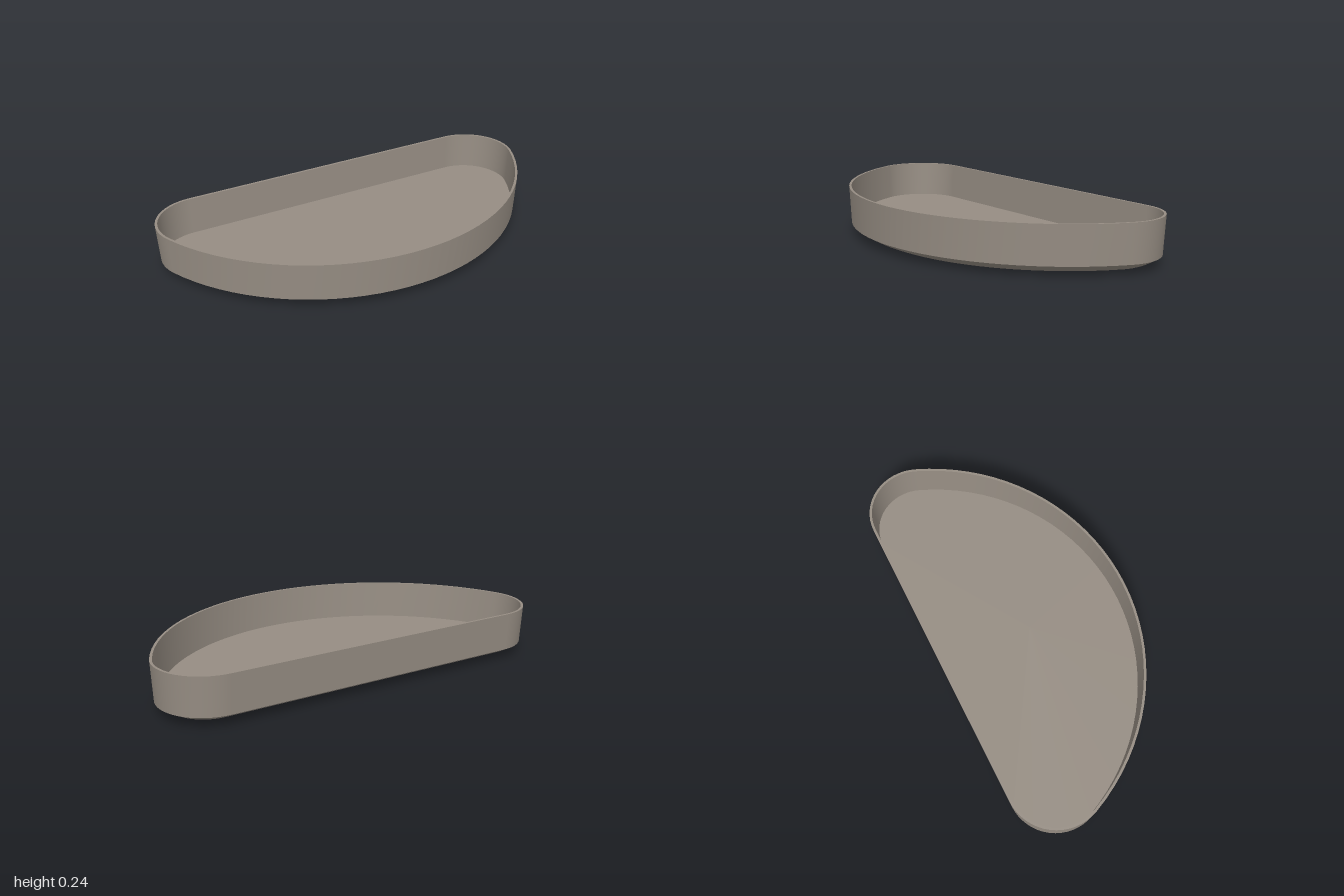
import * as THREE from 'three';

// Half-moon outline: one wide front arc blended into two rounded back corners
const HALF_DEPTH = 0.494, CORNER_R = 0.24, CORNER_X = 1 - CORNER_R;
const K = 2 * HALF_DEPTH - CORNER_R;
const FRONT_R = (CORNER_X ** 2 + K ** 2 - CORNER_R ** 2) / (2 * (K - CORNER_R));
const FRONT_Z = HALF_DEPTH - FRONT_R, CORNER_Z = CORNER_R - HALF_DEPTH;
const JOIN = Math.atan2(CORNER_Z - FRONT_Z, CORNER_X);

// Outline points at height y, inset by d (d = null collapses to the centre)
function ring(d, y) {
  const points = [];
  const arc = (cx, cz, r, from, to, steps) => {
    for (let i = 0; i < steps; i++) {
      const t = from + (to - from) * i / steps;
      points.push(d === null ? [0, y, 0] : [cx + (r - d) * Math.cos(t), y, cz + (r - d) * Math.sin(t)]);
    }
  };
  arc(0, FRONT_Z, FRONT_R, JOIN, Math.PI - JOIN, 36);
  arc(-CORNER_X, CORNER_Z, CORNER_R, Math.PI - JOIN, Math.PI * 1.5, 16);
  // end of the left corner, where the straight back begins
  points.push(d === null ? [0, y, 0] : [-CORNER_X, y, -HALF_DEPTH + d]);
  arc(CORNER_X, CORNER_Z, CORNER_R, Math.PI * 1.5, Math.PI * 2 + JOIN, 16);
  return points;
}

// Smooth band through a list of [inset, height] rings
function band(name, profile, material) {
  const rings = profile.map(([d, y]) => ring(d, y));
  const n = rings[0].length, index = [];
  for (let k = 0; k < rings.length - 1; k++) {
    for (let i = 0; i < n; i++) {
      const a = k * n + i, b = k * n + (i + 1) % n;
      index.push(a, a + n, b, b, a + n, b + n);
    }
  }
  const geometry = new THREE.BufferGeometry();
  geometry.setAttribute('position', new THREE.Float32BufferAttribute(rings.flat(2), 3));
  geometry.setIndex(index);
  geometry.computeVertexNormals();
  const mesh = new THREE.Mesh(geometry, material);
  mesh.name = name;
  return mesh;
}

export function createModel() {
  const group = new THREE.Group();
  group.name = 'halfMoonTray';
  const clay = new THREE.MeshStandardMaterial({ color: 0x968d83 });
  clay.name = 'warm grey';

  group.add(
    band('base', [[null, 0], [0.14, 0]], clay),
    band('roundedUnderside', [[0.14, 0], [0.115, 0.003], [0.09, 0.009], [0.065, 0.019], [0.009, 0.05]], clay),
    band('outerWall', [[0.009, 0.05], [0, 0.237]], clay),
    band('rim', [[0, 0.237], [0.012, 0.237]], clay),
    band('innerWall', [[0.012, 0.237], [0.02, 0.05]], clay),
    band('floor', [[0.02, 0.05], [null, 0.05]], clay),
  );
  return group;
}
